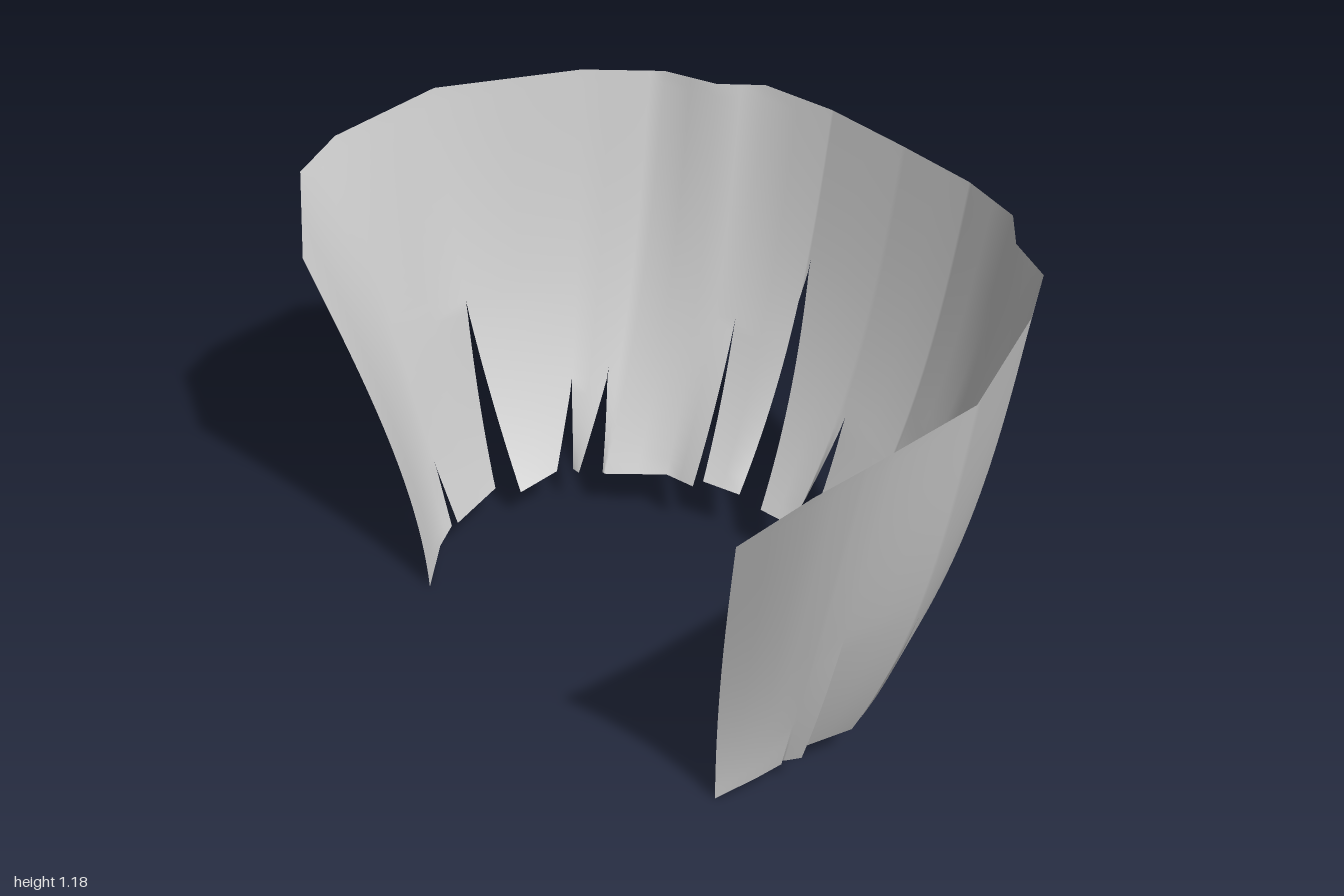
import * as THREE from 'three';
import { mergeVertices } from 'three/addons/utils/BufferGeometryUtils.js';

// Ribs of one half, from the middle of the back to the front edge: rim x, y, z and hem x, y, z
const halfRibs = [
  [0, 1.155, -0.645, 0, 0.145, -0.29],
  [0.25, 1.16, -0.635, 0.2, 0.145, -0.28],
  [0.45, 1.17, -0.585, 0.3, 0.155, -0.22],
  [0.545, 1.165, -0.5, 0.4, 0.145, -0.195],
  [0.69, 1.165, -0.445, 0.53, 0.13, -0.085],
  [0.82, 1.178, -0.27, 0.62, 0.125, -0.02],
  [0.995, 1.175, 0.08, 0.68, 0.095, 0.13],
  [0.99, 1.15, 0.4, 0.655, 0.088, 0.33],
  [0.955, 1.11, 0.535, 0.635, 0.06, 0.395],
  [0.82, 0.955, 0.635, 0.573, 0, 0.48],
];
const last = halfRibs.length - 1;

// Slits: place in ribs from the back middle (right side negative), start (0 rim, 1 hem),
// and how far each hem edge is pushed apart in x and z
const slits = [
  [-7, 0.85, 0, -0.01], [-6, 0.55, 0.03, -0.02], [-5, 0.8, 0.01, -0.02],
  [-4.35, 0.78, 0.02, -0.025], [-2, 0.62, 0, -0.018], [-0.95, 0.42, 0.08, 0.005],
  [0.12, 0.73, 0.015, -0.025], [1.1, 0.8, 0.025, 0.015], [2, 0.63, 0, 0.045],
  [4, 0.82, 0.01, 0.01], [4.7, 0.8, 0.02, 0.02], [5.8, 0.65, 0, 0.01],
  [6.75, 0.6, 0.015, 0.012], [7.1, 0.89, 0.005, 0.005],
];

// Point at place s round the sheet and t down it; side is +1 or -1 for the edge past or before a slit
function sheetPoint(s, t, side) {
  const i = Math.min(Math.floor(Math.abs(s)), last - 1);
  const [rx, ry, rz, hx, hy, hz] = halfRibs[i].map(
    (v, n) => THREE.MathUtils.lerp(v, halfRibs[i + 1][n], Math.abs(s) - i));
  // The wall curls inward: convex at the back, concave along the front edges
  const slope = 0.55 + 1.6 * Math.max(0, rz + 0.1) ** 2;
  const f = slope * t + (1 - slope) * t ** 3;
  const p = new THREE.Vector3(
    Math.sign(s) * THREE.MathUtils.lerp(rx, hx, f),
    THREE.MathUtils.lerp(ry, hy, t),
    THREE.MathUtils.lerp(rz, hz, f));
  const slit = slits.find((cut) => cut[0] === s);
  if (slit) {
    const [, start, dx, dz] = slit;
    const open = side * Math.max(0, (t - start) / (1 - start));
    p.x += dx * open;
    p.z += dz * open;
  }
  return p;
}

function sheetGeometry(rows = 28, splits = 2) {
  const places = new Set(slits.map((cut) => cut[0]));
  for (let s = -last; s <= last; s++) places.add(s);
  const columns = [...places].sort((a, b) => a - b);
  const positions = [];
  const index = [];
  for (let k = 0; k < columns.length - 1; k++) {
    const start = positions.length / 3;
    for (let c = 0; c <= splits; c++) {
      for (let r = 0; r <= rows; r++) {
        const t = r / rows;
        const p = sheetPoint(columns[k], t, 1).lerp(sheetPoint(columns[k + 1], t, -1), c / splits);
        positions.push(p.x, p.y, p.z);
      }
    }
    for (let c = 0; c < splits; c++) {
      for (let r = 0; r < rows; r++) {
        const a = start + c * (rows + 1) + r;
        const b = a + rows + 1;
        index.push(a, b, b + 1, a, b + 1, a + 1);
      }
    }
  }
  const geometry = new THREE.BufferGeometry();
  geometry.setAttribute('position', new THREE.Float32BufferAttribute(positions, 3));
  geometry.setIndex(index);
  // Join the strands above the slits so shading runs smoothly across them
  const merged = mergeVertices(geometry, 1e-4);
  merged.computeVertexNormals();
  return merged;
}

export function createModel() {
  const group = new THREE.Group();
  group.name = 'tatteredWrap';
  const material = new THREE.MeshStandardMaterial({ color: 0xcccccc, side: THREE.DoubleSide });
  const sheet = new THREE.Mesh(sheetGeometry(), material);
  sheet.name = 'slitSheet';
  group.add(sheet);
  return group;
}
